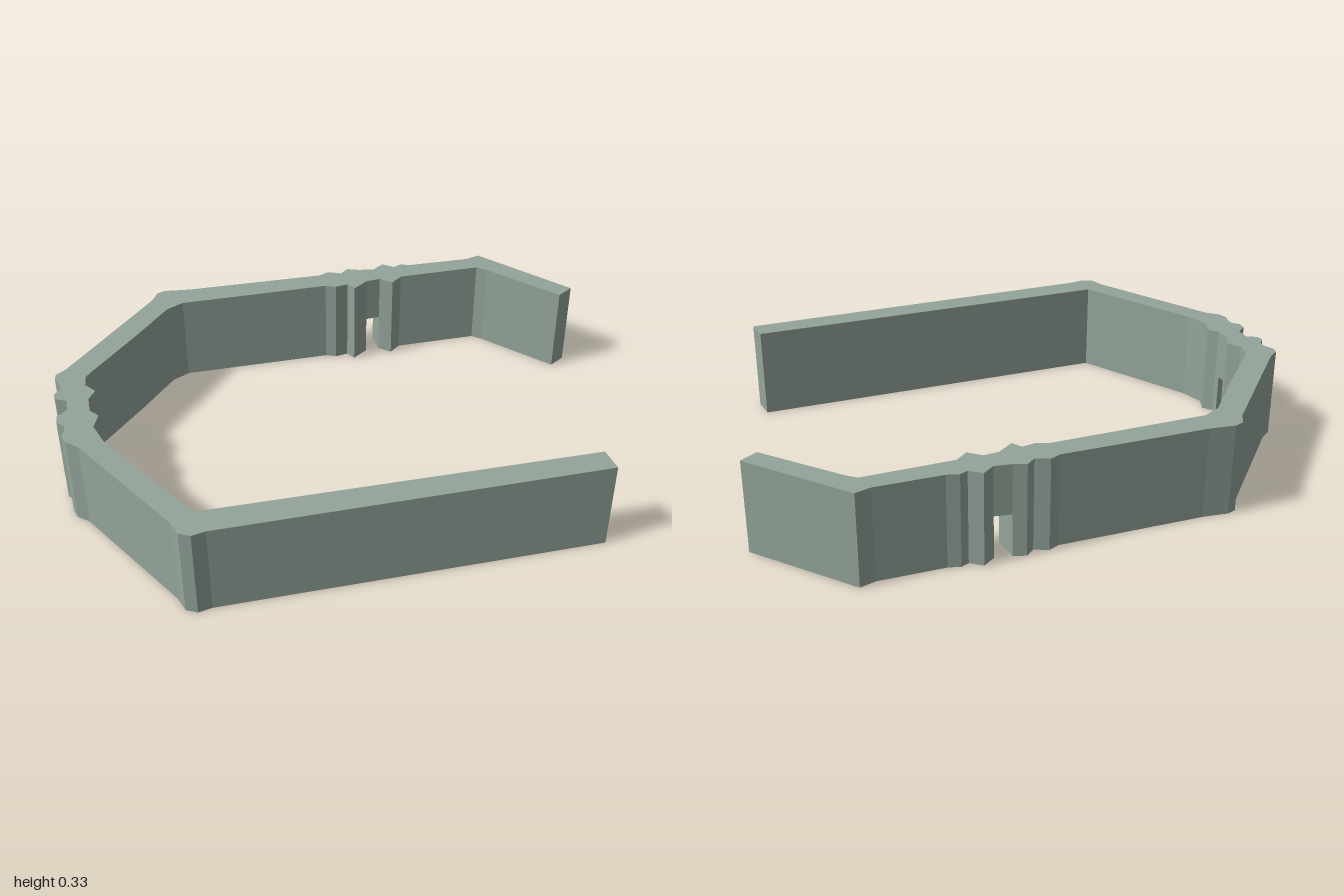
import * as THREE from 'three';

const HEIGHT = 0.33;
const GATE_HEIGHT = 0.152;

// Ground plans as [x, z] corners
const frontWall = [
  [-.96, -.02], [-.997, .011], [-1, .043], [-.976, .07], [-.976, .091], [-.987, .123],
  [-.976, .16], [-.938, .193], [-.687, .631], [-.671, .684], [-.634, .703], [-.586, .693],
  [.751, .693], [.741, .607], [-.612, .596], [-.853, .182], [-.88, .096], [-.858, .037],
  [-.885, .005], [-.885, -.02],
];
const backWall = [
  [.227, -.69], [.184, -.706], [.152, -.68], [.104, -.7], [.067, -.684], [-.452, -.695],
  [-.543, -.706], [-.575, -.695], [-.602, -.647], [-.949, -.262], [-.987, -.235],
  [-.992, -.209], [-.976, -.171], [-.976, -.144], [-1, -.118], [-.997, -.091], [-.96, -.07],
  [-.96, -.053], [-.885, -.053], [-.885, -.064], [-.858, -.107], [-.89, -.15],
  [-.885, -.198], [-.858, -.23], [-.687, -.417], [-.553, -.572], [-.489, -.604],
  [.072, -.602], [.11, -.586], [.158, -.594], [.179, -.559], [.238, -.6],
];
const wingWall = [
  [.286, -.68], [.329, -.711], [.37, -.68], [.398, -.692], [.44, -.68], [.67, -.674],
  [.725, -.69], [1, -.369], [.94, -.332], [.725, -.572], [.69, -.602], [.377, -.602],
  [.334, -.567], [.291, -.604],
];
// Lintels bridge the gates between neighbouring walls
const sideLintel = [[-.96, -.053], [-.96, -.02], [-.885, -.02], [-.885, -.053]];
const backLintel = [[.227, -.69], [.286, -.68], [.291, -.604], [.238, -.6]];

// Raise a ground plan from y = bottom to the wall top
function raise(plan, bottom) {
  const shape = new THREE.Shape(plan.map(([x, z]) => new THREE.Vector2(x, -z)));
  const geometry = new THREE.ExtrudeGeometry(shape, { depth: HEIGHT - bottom, bevelEnabled: false });
  return geometry.rotateX(-Math.PI / 2).translate(0, bottom, 0);
}

export function createModel() {
  const model = new THREE.Group();
  model.name = 'cityWall';
  const stone = new THREE.MeshStandardMaterial({ color: 0x94a59b });
  stone.name = 'sage stone';

  const parts = [
    ['frontWall', frontWall, 0],
    ['backWall', backWall, 0],
    ['wingWall', wingWall, 0],
    ['sideGateLintel', sideLintel, GATE_HEIGHT],
    ['backGateLintel', backLintel, GATE_HEIGHT],
  ];
  for (const [name, plan, bottom] of parts) {
    const mesh = new THREE.Mesh(raise(plan, bottom), stone);
    mesh.name = name;
    model.add(mesh);
  }
  return model;
}
